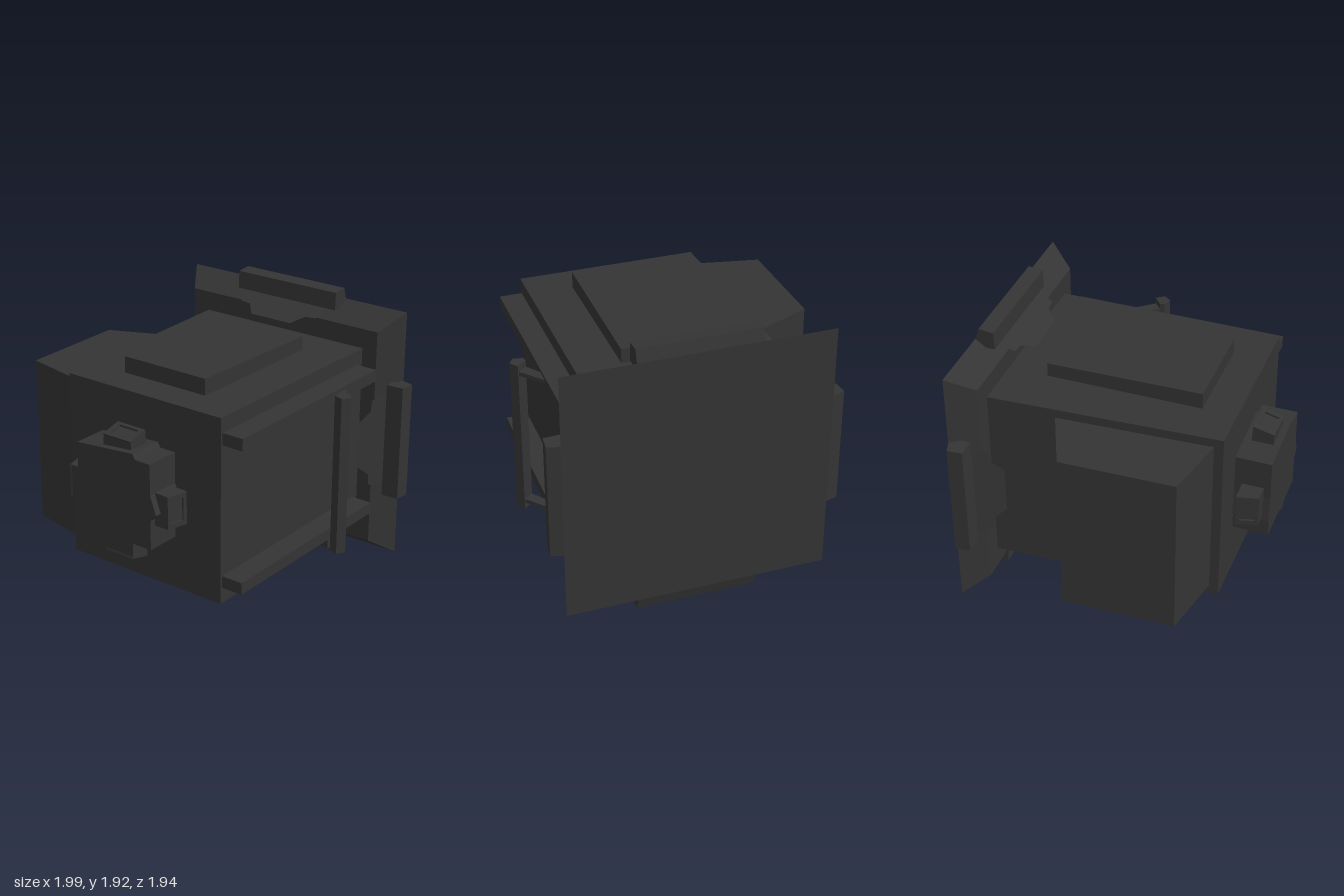
import * as THREE from 'three';

const CX = 0.02, CY = 0.962; // axis shared by the repeated clips and knobs

export function createModel() {
  const model = new THREE.Group();
  const charcoal = new THREE.MeshStandardMaterial({ color: 0x343434 });

  const add = (name, geometry, parent = model) => {
    const mesh = new THREE.Mesh(geometry, charcoal);
    mesh.name = name;
    parent.add(mesh);
    return mesh;
  };
  const box = (x0, x1, y0, y1, z0, z1) =>
    new THREE.BoxGeometry(x1 - x0, y1 - y0, z1 - z0)
      .translate((x0 + x1) / 2, (y0 + y1) / 2, (z0 + z1) / 2);
  const shape = (pts) => new THREE.Shape(pts.map(([a, b]) => new THREE.Vector2(a, b)));
  const extrude = (pts, depth) =>
    new THREE.ExtrudeGeometry(shape(pts), { depth, bevelEnabled: false });
  // outline in x, z raised from y0 to y1
  const upright = (pts, y0, y1) =>
    extrude(pts.map(([x, z]) => [x, -z]), y1 - y0).rotateX(-Math.PI / 2).translate(0, y0, 0);
  // outline in z, y swept from x0 to x1
  const sideways = (pts, x0, x1) =>
    extrude(pts.map(([z, y]) => [-z, y]), x1 - x0).rotateY(Math.PI / 2).translate(x0, 0, 0);
  // four copies around the front-to-back axis
  const aroundAxis = (name, build) => {
    for (let i = 0; i < 4; i++) {
      const g = new THREE.Group();
      g.name = name;
      g.position.set(CX, CY, 0);
      g.rotation.z = i * Math.PI / 2;
      build(g);
      model.add(g);
    }
  };

  // Main body, slightly wider at the back on one side
  add('body', upright([[-0.54, 0.73], [0.67, 0.73], [0.67, -0.8], [-0.615, -0.8]], 0.34, 1.59));
  add('sidePod', upright([[-0.59, -0.35], [-1, -0.17], [-0.98, 0.58], [-0.535, 0.67]], 0.4, 1.53));

  // Raised panels above and below
  add('topPanel', sideways([[0.505, 1.58], [0.505, 1.7], [-0.53, 1.685], [-0.53, 1.58]], -0.27, 0.375));
  add('bottomPanel', sideways([[0.505, 0.35], [0.505, 0.222], [-0.53, 0.235], [-0.53, 0.35]], -0.27, 0.375));

  // Flared back plate
  const plate = new THREE.CylinderGeometry(0.76 * Math.SQRT2, 0.875 * Math.SQRT2, 0.17, 4)
    .rotateY(Math.PI / 4).rotateX(Math.PI / 2).translate(CX, 0.964, -0.882).toNonIndexed();
  plate.computeVertexNormals();
  add('backPlate', plate);

  // Clips on the edges of the back plate, each with a sloping tongue
  aroundAxis('clip', (g) => {
    add('clipBar', sideways([[-0.84, 0.948], [-0.94, 0.958], [-0.966, 0.87], [-0.95, 0.828], [-0.835, 0.828]],
      -0.4, 0.4), g);
    const half = [[0.33, -0.835], [0.325, -0.79], [0.305, -0.74], [0.23, -0.735], [0.16, -0.66]];
    const outline = [...half, ...half.map(([x, z]) => [-x, z]).reverse()];
    const tongue = new THREE.ShapeGeometry(shape(outline.map(([x, z]) => [x, -z]))).rotateX(-Math.PI / 2);
    const p = tongue.attributes.position;
    for (let i = 0; i < p.count; i++) p.setY(i, 0.735 - (p.getZ(i) + 0.66) * 0.53);
    tongue.computeVertexNormals();
    add('clipTongue', tongue, g);
  });

  // Side rails with a standing handle
  for (const y of [0.45, 1.41]) add('rail', box(0.66, 0.82, y, y + 0.08, -0.74, 0.715));
  add('handleBar', upright([[0.95, -0.235], [0.99, -0.18], [0.953, -0.13], [0.89, -0.15], [0.885, -0.18]], 0.43, 1.51));
  for (const y of [0.475, 1.44]) {
    add('handleArm', upright([[0.81, -0.39], [0.81, -0.29], [0.89, -0.18], [0.945, -0.23]], y, y + 0.028));
  }

  // Front block with small ridges on its sides
  add('frontBlock', extrude([
    [-0.27, 1.27], [0.18, 1.31], [0.2, 1.275], [0.315, 1.275], [0.315, 1.07], [0.36, 0.945],
    [0.315, 0.9], [0.315, 0.7], [0.12, 0.7], [0.07, 0.655], [-0.02, 0.7], [-0.27, 0.7],
    [-0.27, 0.82], [-0.29, 0.83], [-0.27, 1.0],
  ], 0.25).translate(0, 0, 0.72));

  // Four knobs around the front block, each with a framed sloping end
  aroundAxis('knob', (g) => {
    add('knobCore', sideways([[0.925, 0.28], [0.925, 0.385], [0.785, 0.42], [0.78, 0.28]], -0.11, 0.11), g);
    const rim = shape([[-0.11, -0.072], [0.11, -0.072], [0.11, 0.072], [-0.11, 0.072]]);
    rim.holes.push(shape([[-0.076, -0.048], [-0.076, 0.048], [0.076, 0.048], [0.076, -0.048]]));
    const frame = add('knobRim', new THREE.ExtrudeGeometry(rim, { depth: 0.014, bevelEnabled: false }), g);
    frame.position.set(0, 0.4025, 0.855);
    frame.rotation.x = -Math.PI / 2 + Math.atan(0.25);
  });

  return model;
}
